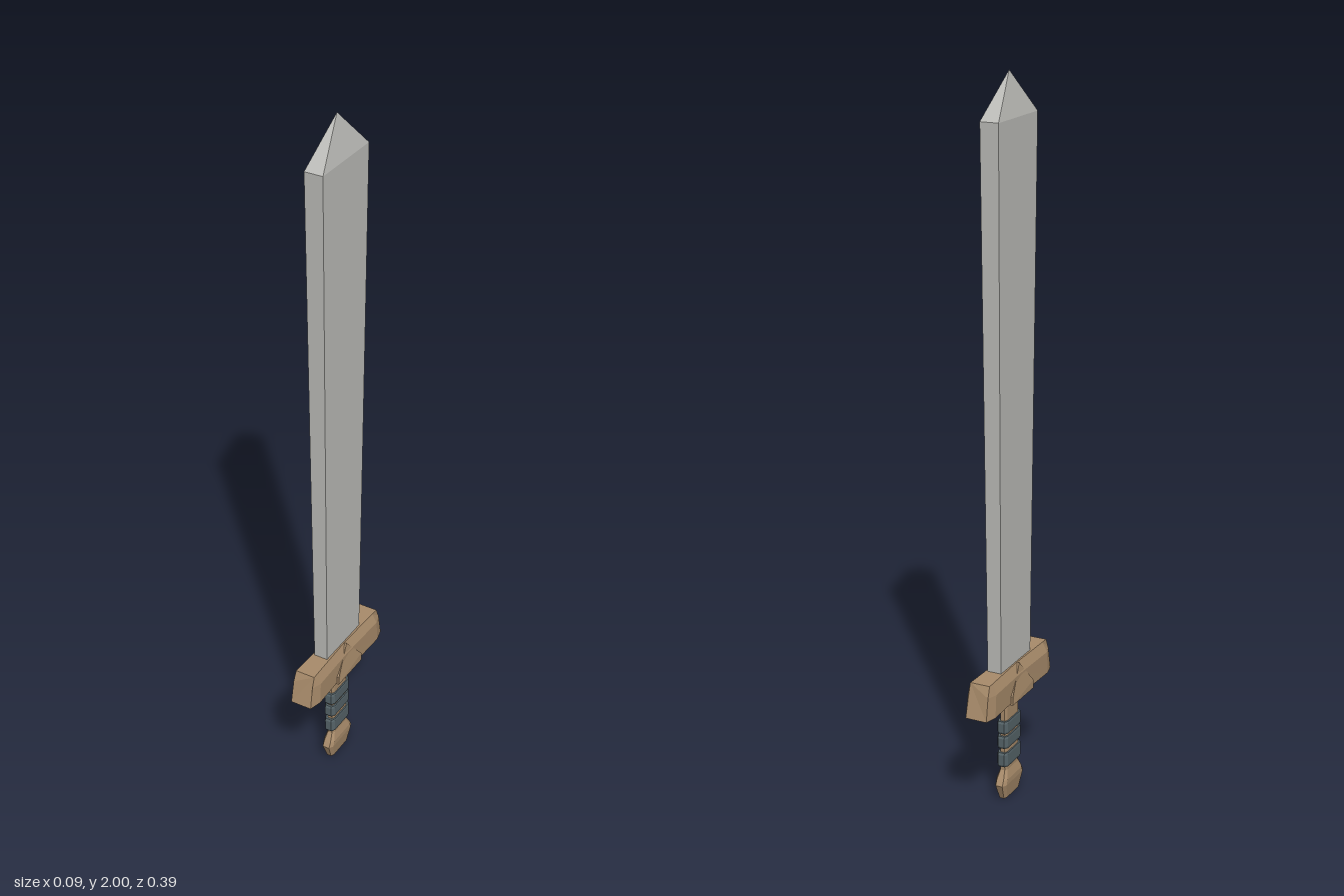
import * as THREE from 'three';

const mat = (name, color) => {
  const m = new THREE.MeshStandardMaterial({ color, flatShading: true });
  m.name = name;
  return m;
};

// Skins a list of rings (equal point counts, counter-clockwise seen from the last ring) and caps both ends
function loft(rings) {
  const pos = [], n = rings[0].length;
  const tri = (...pts) => pts.forEach((p) => pos.push(...p));
  for (let r = 0; r < rings.length - 1; r++) {
    const a = rings[r], b = rings[r + 1];
    for (let i = 0; i < n; i++) {
      const j = (i + 1) % n;
      tri(a[i], a[j], b[j]);
      tri(a[i], b[j], b[i]);
    }
  }
  const first = rings[0], last = rings[rings.length - 1];
  for (let i = 1; i < n - 1; i++) {
    tri(first[0], first[i + 1], first[i]);
    tri(last[0], last[i], last[i + 1]);
  }
  const g = new THREE.BufferGeometry();
  g.setAttribute('position', new THREE.Float32BufferAttribute(pos, 3));
  g.computeVertexNormals();
  return g;
}

// Horizontal rectangle at height y with half sizes x and z
const rect = ([y, x, z]) => [[x, y, z], [x, y, -z], [-x, y, -z], [-x, y, z]];

// Horizontal rectangle with bevelled corners
const bevelled = ([y, x, z]) => {
  const cx = x * 0.6, cz = z * 0.78;
  return [[cx, y, z], [x, y, cz], [x, y, -cz], [cx, y, -z],
    [-cx, y, -z], [-x, y, -cz], [-x, y, cz], [-cx, y, z]];
};

export function createModel() {
  const group = new THREE.Group();
  const steel = mat('steel', 0xbdbdb9);
  const wood = mat('wood', 0xa98c6b);
  const leather = mat('leather', 0x566469);
  const add = (name, geometry, material) => {
    const mesh = new THREE.Mesh(geometry, material);
    mesh.name = name;
    group.add(mesh);
  };

  // Blade, widening slightly towards a pyramid tip
  add('blade', loft([[0.36, 0.02, 0.088], [1.885, 0.026, 0.109], [2, 0, 0]].map(rect)), steel);

  // Crossguard: six-sided section swept along z with slanted, narrower ends
  const section = (zTop, zBottom, top, mid, bottom) => {
    const zMid = (zTop + zBottom) / 2;
    return [[top, 0.4, zTop], [-top, 0.4, zTop], [-mid, 0.37, zMid],
      [-bottom, 0.305, zBottom], [bottom, 0.305, zBottom], [mid, 0.37, zMid]];
  };
  add('crossguard', loft([
    section(-0.172, -0.196, 0.029, 0.03, 0.031),
    section(-0.15, -0.16, 0.028, 0.04, 0.04),
    section(0, 0, 0.024, 0.036, 0.036),
    section(0.15, 0.16, 0.028, 0.04, 0.04),
    section(0.172, 0.196, 0.029, 0.03, 0.031),
  ]), wood);

  // Pointed ornament on each broad side of the guard
  for (const side of [1, -1]) {
    const p = (x, y, z) => [side * x, y, side * z];
    add('guardOrnament', loft([
      [p(0.015, 0.3, 0.063), p(0.015, 0.3, -0.063), p(0.015, 0.33, -0.063), p(0.015, 0.4, 0), p(0.015, 0.33, 0.063)],
      [p(0.043, 0.3, 0.063), p(0.043, 0.3, -0.063), p(0.043, 0.325, -0.063), p(0.031, 0.4, 0), p(0.043, 0.325, 0.063)],
    ]), wood);
  }

  // Collar, grip and pommel
  add('collar', loft([[0.285, 0.014, 0.062], [0.308, 0.018, 0.066]].map(bevelled)), wood);
  add('grip', loft([[0.07, 0.011, 0.04], [0.29, 0.011, 0.041]].map(bevelled)), wood);
  add('pommel', loft([[0, 0.011, 0.045], [0.045, 0.017, 0.063],
    [0.06, 0.017, 0.055], [0.085, 0.011, 0.04]].map(bevelled)), wood);

  // Leather bands around the grip
  for (const [low, high] of [[0.098, 0.14], [0.154, 0.19], [0.198, 0.235]]) {
    add('gripBand', loft([[low, 0.015, 0.047], [low + 0.006, 0.016, 0.05],
      [high - 0.006, 0.016, 0.05], [high, 0.015, 0.047]].map(bevelled)), leather);
  }
  return group;
}
